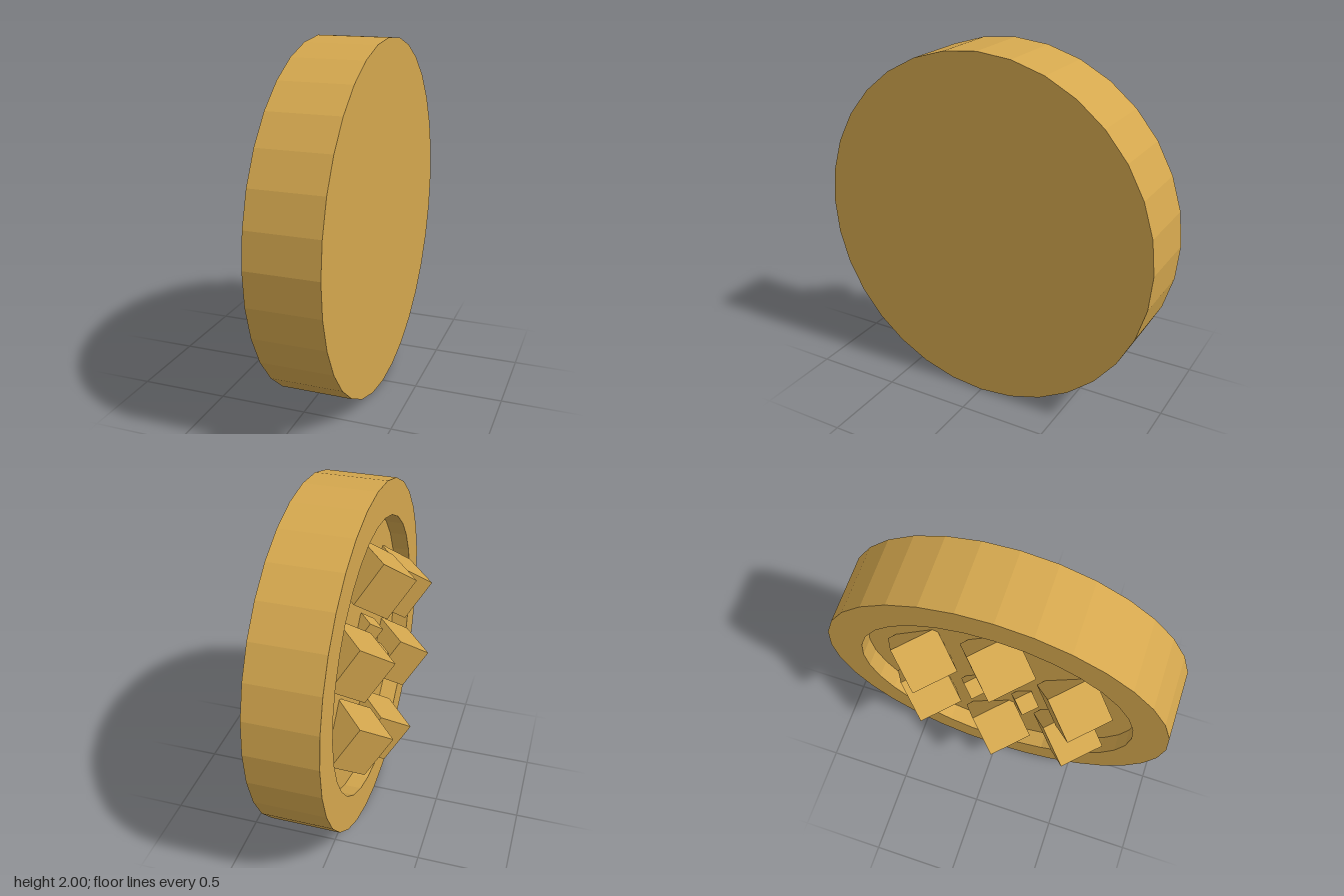
import * as THREE from 'three';

export function createModel() {
  const model = new THREE.Group();
  model.name = 'studdedDisc';
  const gold = new THREE.MeshStandardMaterial({ color: 0xd4a74e, flatShading: true });
  gold.name = 'gold';

  // Thick disc lying on the x axis, with a shallow round recess on its -x face
  const profile = [[0, -0.3], [1, -0.3], [1, 0.1], [0.8, 0.1], [0.8, 0], [0, 0]]
    .map(([r, h]) => new THREE.Vector2(r, h));
  const disc = new THREE.Mesh(new THREE.LatheGeometry(profile, 32), gold);
  disc.name = 'recessedDisc';
  disc.rotation.z = Math.PI / 2;
  disc.position.y = 1;
  model.add(disc);

  // All cubes share one tilt, with a corner pointing out of the recess
  const a = new THREE.Vector3(0.524, 0.6, -0.605).normalize();
  const b = new THREE.Vector3(0.674, 0.112, 0.727);
  b.addScaledVector(a, -b.dot(a)).normalize();
  const c = new THREE.Vector3().crossVectors(a, b);
  const tilt = new THREE.Quaternion().setFromRotationMatrix(new THREE.Matrix4().makeBasis(a, b, c));

  // Ring of equally spaced cubes, the first one at the top
  function cubeRing(name, count, radius, size, x) {
    const geometry = new THREE.BoxGeometry(size, size, size);
    for (let i = 0; i < count; i++) {
      const angle = (i / count) * Math.PI * 2;
      const cube = new THREE.Mesh(geometry, gold);
      cube.name = name + (i + 1);
      cube.quaternion.copy(tilt);
      cube.position.set(x, 0.995 + radius * Math.cos(angle), 0.008 + radius * Math.sin(angle));
      model.add(cube);
    }
  }
  cubeRing('largeCube', 6, 0.5, 0.267, -0.08);
  cubeRing('smallCube', 3, 0.177, 0.107, -0.042);

  return model;
}
